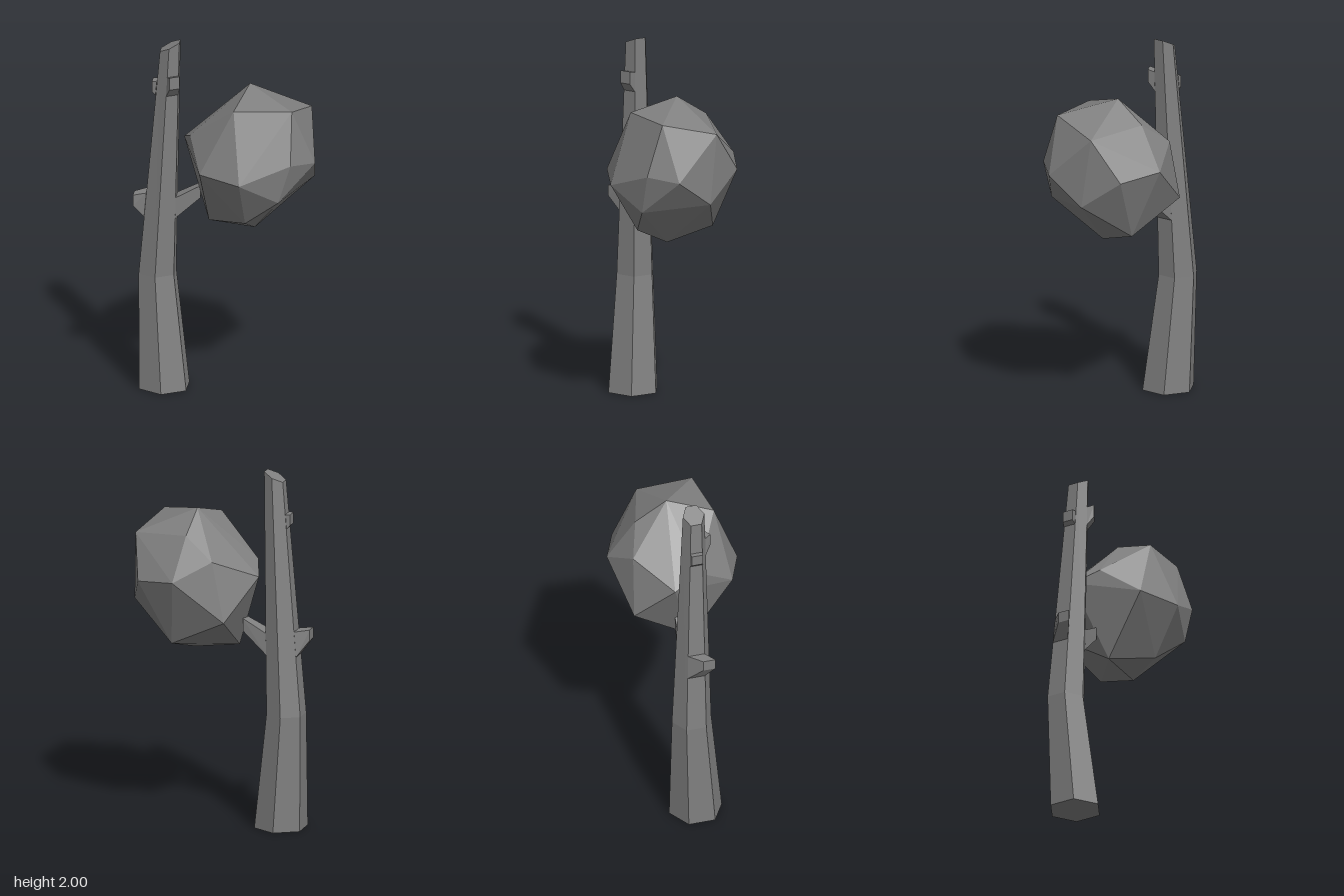
import * as THREE from 'three';
import { ConvexGeometry } from 'three/addons/geometries/ConvexGeometry.js';

const material = new THREE.MeshStandardMaterial({ color: 0x808080, flatShading: true });
const V = (x, y, z) => new THREE.Vector3(x, y, z);

// Trunk rings: height, centre x, centre z, radius
const rings = [
  [0, -0.27, -0.275, 0.149],
  [0.65, -0.275, -0.328, 0.111],
  [1.974, -0.246, -0.252, 0.061],
];

// Corner k of the six-sided trunk at height y
function trunkPoint(k, y) {
  const i = y < rings[1][0] ? 0 : 1;
  const a = rings[i], b = rings[i + 1];
  const t = (y - a[0]) / (b[0] - a[0]);
  const [, cx, cz, r] = a.map((v, j) => v + (b[j] - v) * t);
  const ang = THREE.MathUtils.degToRad(75 + 60 * k);
  return V(cx + r * Math.cos(ang), y, cz + r * Math.sin(ang));
}

function addMesh(group, geometry, name) {
  const mesh = new THREE.Mesh(geometry, material);
  mesh.name = name;
  group.add(mesh);
}

// Bent, tapering six-sided trunk with a slanted top
function trunkGeometry() {
  const pos = [];
  const tri = (...pts) => pts.forEach((p) => pos.push(p.x, p.y, p.z));
  const corner = (k, i) => {
    const p = trunkPoint(k, rings[i][0]);
    if (i === 2) p.y += 0.35 * (p.x - rings[2][1] + p.z - rings[2][2]);
    return p;
  };
  const centre = (i) => V(rings[i][1], rings[i][0], rings[i][2]);
  for (let k = 0; k < 6; k++) {
    for (let i = 0; i < 2; i++) {
      const a = corner(k, i), b = corner(k + 1, i);
      const c = corner(k + 1, i + 1), d = corner(k, i + 1);
      tri(a, c, b);
      tri(a, d, c);
    }
    tri(centre(0), corner(k, 0), corner(k + 1, 0));
    tri(centre(2), corner(k + 1, 2), corner(k, 2));
  }
  const g = new THREE.BufferGeometry();
  g.setAttribute('position', new THREE.Float32BufferAttribute(pos, 3));
  g.computeVertexNormals();
  return g;
}

// Branch growing from one trunk side: base heights, tip heights, sideways offset, tip width
function branchGeometry(side, base, tip, dx, dz, width) {
  const pts = [];
  const midY = (base[0] + base[1]) / 2;
  const p = trunkPoint(side, midY), q = trunkPoint(side + 1, midY);
  const mid = p.clone().add(q).multiplyScalar(0.5);
  [[side, p], [side + 1, q]].forEach(([k, c]) => {
    base.forEach((y) => pts.push(trunkPoint(k, y)));
    const end = mid.clone().lerp(c, width);
    tip.forEach((y) => pts.push(V(end.x + dx, y, end.z + dz)));
  });
  return new ConvexGeometry(pts);
}

// Faceted ball of leaves
function foliageGeometry() {
  const corners = [
    [0.08, 1.765, 0.035], [-0.14, 1.69, 0.17], [0.105, 1.69, 0.37],
    [0.365, 1.62, 0.215], [0.21, 1.65, -0.08], [0.135, 1.53, -0.24],
    [0.432, 1.39, 0.06], [0.34, 1.42, -0.165], [-0.305, 1.335, 0.08],
    [-0.21, 1.48, -0.125], [-0.14, 1.42, -0.265], [-0.21, 1.31, 0.307],
    [0.04, 1.41, 0.44], [0.22, 1.385, 0.428], [-0.005, 1.193, 0.39],
    [0.345, 1.235, 0.265], [0.095, 1.195, -0.3], [0.267, 1.037, -0.02],
    [0.05, 0.96, 0.115], [-0.13, 0.992, -0.06], [-0.09, 1.04, 0.207],
  ];
  return new ConvexGeometry(corners.map((c) => V(...c)));
}

export function createModel() {
  const group = new THREE.Group();
  group.name = 'tree';
  addMesh(group, trunkGeometry(), 'trunk');
  addMesh(group, branchGeometry(5, [0.98, 1.1], [1.1, 1.17], 0.095, 0.095, 0.7), 'foliageBranch');
  addMesh(group, branchGeometry(2, [0.98, 1.12], [1.06, 1.12], -0.083, -0.004, 0.72), 'lowerStub');
  addMesh(group, branchGeometry(0, [1.7, 1.81], [1.75, 1.82], -0.014, 0.036, 0.88), 'upperFrontStub');
  addMesh(group, branchGeometry(2, [1.69, 1.77], [1.71, 1.77], -0.016, -0.016, 0.9), 'upperBackStub');
  addMesh(group, foliageGeometry(), 'foliage');
  return group;
}
